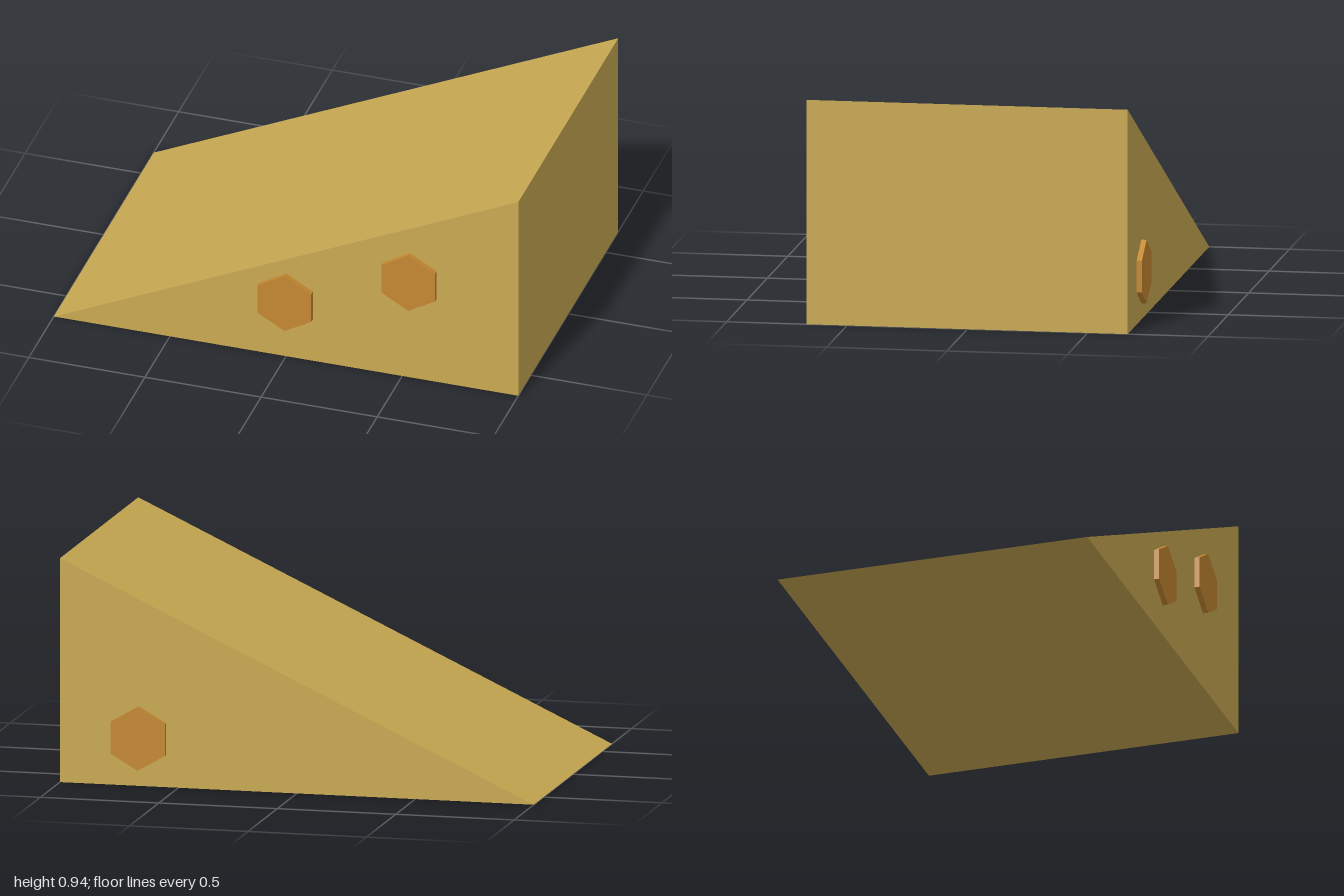
import * as THREE from 'three';

const WIDTH = 2, HEIGHT = 0.935, HALF_DEPTH = 0.667;
const BOLT_RADIUS = 0.133, BOLT_HEIGHT = 0.022, BOLT_SINK = 0.01;

export function createModel() {
  const model = new THREE.Group();
  model.name = 'wedgeRamp';

  const ochre = new THREE.MeshStandardMaterial({ color: 0xc9aa52 });
  ochre.name = 'ochre';
  const copper = new THREE.MeshStandardMaterial({ color: 0xc68932 });
  copper.name = 'copper';

  // Wedge body: a right triangle extruded along z
  const profile = new THREE.Shape([
    new THREE.Vector2(-WIDTH / 2, 0),
    new THREE.Vector2(WIDTH / 2, 0),
    new THREE.Vector2(WIDTH / 2, HEIGHT),
  ]);
  const wedgeGeometry = new THREE.ExtrudeGeometry(profile, { depth: HALF_DEPTH * 2, bevelEnabled: false });
  wedgeGeometry.translate(0, 0, -HALF_DEPTH);
  const wedge = new THREE.Mesh(wedgeGeometry, ochre);
  wedge.name = 'wedge';
  model.add(wedge);

  // Hexagonal bolt heads, slightly sunk into the sides, one corner pointing up
  const boltGeometry = new THREE.CylinderGeometry(
    BOLT_RADIUS, BOLT_RADIUS, BOLT_HEIGHT + BOLT_SINK, 6).toNonIndexed();
  boltGeometry.computeVertexNormals();
  boltGeometry.rotateX(Math.PI / 2);

  const addBolt = (name, x, y, side) => {
    const bolt = new THREE.Mesh(boltGeometry, copper);
    bolt.name = name;
    bolt.position.set(x, y, side * (HALF_DEPTH + (BOLT_HEIGHT - BOLT_SINK) / 2));
    model.add(bolt);
  };
  addBolt('frontBoltMiddle', 0, 0.267, 1);
  addBolt('frontBoltHigh', 0.533, 0.467, 1);
  addBolt('backBolt', 0.667, 0.2, -1);

  return model;
}
